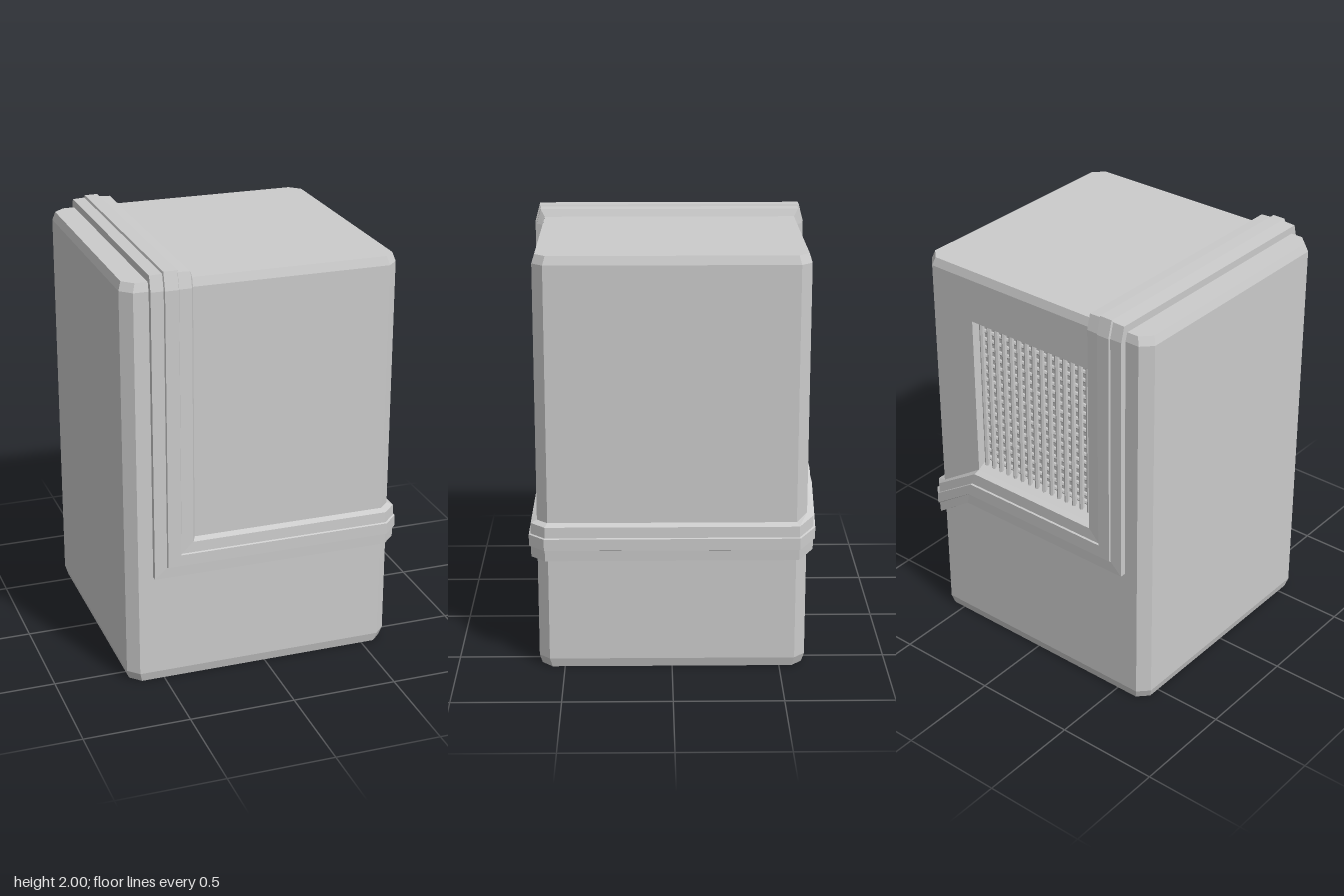
import * as THREE from 'three';

const material = new THREE.MeshStandardMaterial({ color: 0xcccccc, flatShading: true });

// Joins closed rings of points with flat quads; options cap the ends or leave one quad open.
function loft(rings, { capStart, capEnd, skip } = {}) {
  const pos = [];
  const tri = (a, b, c) => pos.push(...a, ...b, ...c);
  const n = rings[0].length;
  for (let r = 0; r + 1 < rings.length; r++) {
    for (let i = 0; i < n; i++) {
      if (skip && skip[0] === r && skip[1] === i) continue;
      const k = (i + 1) % n, lo = rings[r], hi = rings[r + 1];
      tri(lo[i], lo[k], hi[k]);
      tri(lo[i], hi[k], hi[i]);
    }
  }
  const cap = (ring, flip) => {
    for (let i = 1; i + 1 < n; i++) {
      if (flip) tri(ring[0], ring[i + 1], ring[i]);
      else tri(ring[0], ring[i], ring[i + 1]);
    }
  };
  if (capStart) cap(rings[0], true);
  if (capEnd) cap(rings[rings.length - 1], false);
  const g = new THREE.BufferGeometry();
  g.setAttribute('position', new THREE.Float32BufferAttribute(pos, 3));
  g.computeVertexNormals();
  return g;
}

export function createModel() {
  const model = new THREE.Group();
  const add = (name, geometry, parent = model) => {
    const mesh = new THREE.Mesh(geometry, material);
    mesh.name = name;
    parent.add(mesh);
    return mesh;
  };

  // Case: chamfered octagonal prism, open where the vent panel sits
  const cx = -0.0225;
  const outline = [
    [-0.62, 0.62], [0.575, 0.62], [0.625, 0.57], [0.625, -0.57],
    [0.575, -0.62], [-0.62, -0.62], [-0.67, -0.57], [-0.67, 0.57],
  ];
  const ring = (y, s) => outline.map(([x, z]) => [cx + (x - cx) * s, y, z * s]);
  add('case', loft([ring(0, 0.98), ring(0.045, 1), ring(1.91, 1), ring(1.95, 0.98)],
    { capStart: true, capEnd: true, skip: [1, 4] }));

  // Back panel with a recessed vent
  const rect = (x0, x1, y0, y1, z) => [[x1, y0, z], [x0, y0, z], [x0, y1, z], [x1, y1, z]];
  add('backPanel', loft([
    rect(-0.62, 0.575, 0.045, 1.91, -0.62),
    rect(-0.35, 0.34, 0.9, 1.7, -0.62),
    rect(-0.33, 0.34, 0.945, 1.7, -0.54),
  ], { capEnd: true }));

  // Vent grille: crossing rods
  const grille = new THREE.Group();
  grille.name = 'ventGrille';
  model.add(grille);
  const columns = 15, rows = 18;
  const upright = new THREE.CylinderGeometry(0.012, 0.012, 0.79, 6);
  const crossbar = new THREE.CylinderGeometry(0.01, 0.01, 0.67, 6).rotateZ(Math.PI / 2);
  for (let i = 0; i < columns; i++) {
    add('uprightRod', upright, grille).position.set(-0.31 + (i * 0.63) / (columns - 1), 1.305, -0.58);
  }
  for (let i = 0; i < rows; i++) {
    add('crossRod', crossbar, grille).position.set(0.005, 0.95 + (i * 0.73) / (rows - 1), -0.565);
  }

  // Strap: one closed loop around the case. Each station holds the outer edge,
  // the inner edge and the mitred direction in which the strap stands out.
  const stations = [
    [[-0.55, 0.54, 0.62], [-0.35, 0.715, 0.62], [0, 0, 1]],
    [[0.575, 0.54, 0.62], [0.575, 0.715, 0.62], [0.414, 0, 1]],
    [[0.625, 0.54, 0.57], [0.625, 0.715, 0.57], [1, 0, 0.414]],
    [[0.625, 0.54, -0.57], [0.625, 0.715, -0.57], [1, 0, -0.414]],
    [[0.575, 0.57, -0.62], [0.575, 0.745, -0.62], [0.414, 0, -1]],
    [[0.4, 0.7, -0.62], [0.34, 0.9, -0.62], [0, 0, -1]],
    [[-0.55, 0.7, -0.62], [-0.35, 0.9, -0.62], [0, 0, -1]],
    [[-0.55, 1.91, -0.62], [-0.35, 1.91, -0.62], [0, 0.15, -1]],
    [[-0.55, 1.95, -0.608], [-0.35, 1.95, -0.608], [0, 1.25, -0.74]],
    [[-0.55, 1.95, 0.608], [-0.35, 1.95, 0.608], [0, 1.25, 0.74]],
    [[-0.55, 1.91, 0.62], [-0.35, 1.91, 0.62], [0, 0.15, 1]],
  ];
  // Strap section: position across the width, height above the case
  const section = [
    [0, 0], [0, 0.028], [0.29, 0.03], [0.31, 0.038],
    [0.62, 0.038], [0.64, 0.03], [0.93, 0.028], [1, 0],
  ];
  add('strap', loft(section.map(([t, h]) =>
    stations.map(([a, b, n]) => a.map((v, k) => v + (b[k] - v) * t + n[k] * h)))));

  return model;
}
